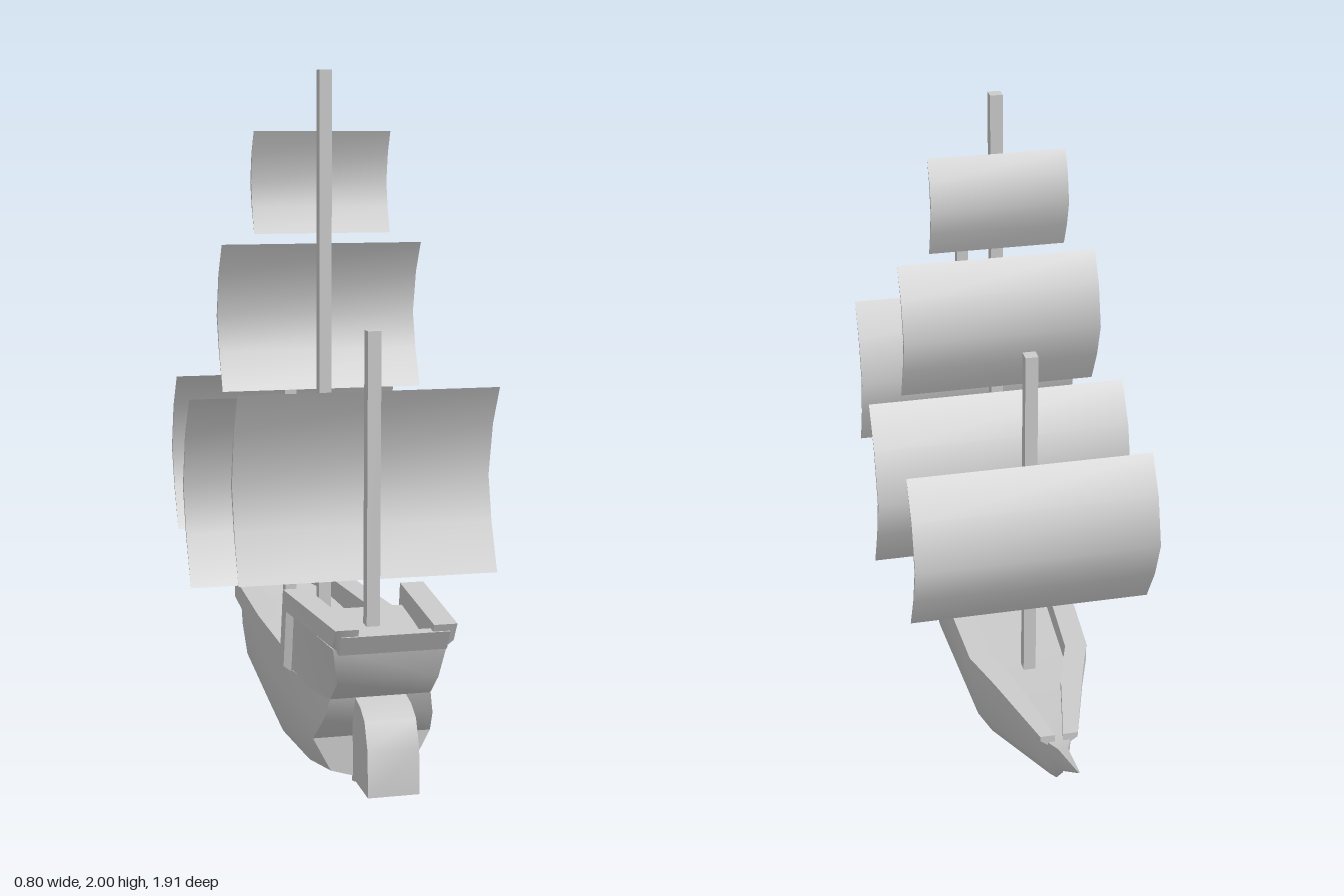
import * as THREE from 'three';
import { toCreasedNormals } from 'three/addons/utils/BufferGeometryUtils.js';

const material = new THREE.MeshStandardMaterial({ color: 0xcccccc });

// Skin a series of closed rings (counter-clockwise seen from +z, ordered by rising z), with capped ends.
function loft(rings, crease = 0.6) {
  const pos = [];
  const ab = new THREE.Vector3(), ac = new THREE.Vector3();
  const tri = (a, b, c) => {
    ab.subVectors(b, a);
    ac.subVectors(c, a);
    if (ab.cross(ac).length() > 1e-9) for (const p of [a, b, c]) pos.push(p.x, p.y, p.z);
  };
  const quad = (a, b, c, d) => { tri(a, b, c); tri(a, c, d); };
  const r = rings.map(ring => ring.map(p => new THREE.Vector3(...p)));
  const n = r[0].length;
  for (let i = 0; i < r.length - 1; i++) {
    for (let j = 0; j < n; j++) {
      const k = (j + 1) % n;
      quad(r[i][j], r[i][k], r[i + 1][k], r[i + 1][j]);
    }
  }
  const first = r[0], last = r[r.length - 1];
  for (let j = 0; j < Math.floor(n / 2); j++) {
    const a = j, b = j + 1, c = n - 2 - j, d = n - 1 - j;
    quad(last[a], last[b], last[c], last[d]);
    quad(first[d], first[c], first[b], first[a]);
  }
  const geo = new THREE.BufferGeometry();
  geo.setAttribute('position', new THREE.Float32BufferAttribute(pos, 3));
  return toCreasedNormals(geo, crease);
}

const mirror = ring => ring.map(([x, y, z]) => [-x, y, z]).reverse();
const bothSides = half => [...half, ...mirror(half)];

// Extrude a side profile of [z, y] points across the ship, centred on x = 0.
function acrossShip(profile, halfWidth, crease = 0.6) {
  const shape = new THREE.Shape(profile.map(([z, y]) => new THREE.Vector2(-z, y)));
  const geo = new THREE.ExtrudeGeometry(shape, { depth: halfWidth * 2, bevelEnabled: false });
  geo.translate(0, 0, -halfWidth).rotateY(Math.PI / 2);
  return toCreasedNormals(geo, crease);
}

export function createModel() {
  const ship = new THREE.Group();
  ship.name = 'sailingShip';
  const add = (name, geo) => {
    const mesh = new THREE.Mesh(geo, material);
    mesh.name = name;
    ship.add(mesh);
    return mesh;
  };

  // Hull: half sections from keel up to the deck edge, bow spike to stern
  const at = (z, pts) => pts.map(([x, y]) => [x, y, z]);
  const hull = [
    at(-0.95, [[0, 0.427], [0.001, 0.428], [0.002, 0.429], [0.002, 0.43], [0.002, 0.431]]),
    at(-0.77, [[0, 0.29], [0.006, 0.3], [0.01, 0.32], [0.013, 0.345], [0.014, 0.37]]),
    at(-0.7, [[0, 0.21], [0.018, 0.225], [0.03, 0.26], [0.038, 0.31], [0.04, 0.355]]),
    at(-0.28, [[0, 0.04], [0.105, 0.075], [0.15, 0.15], [0.165, 0.25], [0.17, 0.335]]),
    at(0.22, [[0, 0.005], [0.14, 0.055], [0.18, 0.145], [0.187, 0.25], [0.187, 0.33]]),
    at(0.55, [[0, 0.04], [0.135, 0.08], [0.178, 0.16], [0.183, 0.26], [0.183, 0.34]]),
    [[0, 0.07, 0.72], [0.115, 0.105, 0.72], [0.165, 0.2, 0.72], [0.152, 0.27, 0.785], [0.138, 0.34, 0.81]],
  ];
  add('hull', loft(hull.map(bothSides)));

  // Raised stern cabin with the overhanging transom
  const cabin = [
    at(0.53, [[0.183, 0.33], [0.183, 0.4], [0.183, 0.505]]),
    at(0.7, [[0.165, 0.33], [0.17, 0.4], [0.178, 0.505]]),
    [[0.138, 0.335, 0.808], [0.138, 0.4, 0.88], [0.155, 0.5, 0.905]],
  ];
  add('sternCabin', loft(cabin.map(bothSides)));

  // Bulwarks: [bottom z, bottom y, top z, top y, outer x, inner x], stepping up at the stern
  const stations = [
    [-0.72, 0.345, -0.72, 0.382, 0.055, 0.012],
    [-0.46, 0.325, -0.46, 0.39, 0.135, 0.068],
    [-0.32, 0.31, -0.32, 0.393, 0.182, 0.115],
    [0.2, 0.31, 0.2, 0.408, 0.21, 0.14],
    [0.53, 0.327, 0.49, 0.402, 0.205, 0.136],
    [0.555, 0.49, 0.515, 0.565, 0.203, 0.135],
    [0.93, 0.49, 0.962, 0.565, 0.163, 0.1],
  ];
  const rail = stations.map(([zb, yb, zt, yt, xo, xi]) => [
    [xi, yb, zb],
    [Math.max(xo - 0.03, xi), yb, zb],
    [xo, yb + 0.022, zb],
    [xo, yt, zt],
    [xi, yt, zt],
  ]);
  add('leftBulwark', loft(rail, 0.4));
  add('rightBulwark', loft(rail.map(mirror), 0.4));
  add('sternRail', acrossShip([[0.9, 0.49], [0.93, 0.49], [0.96, 0.545], [0.92, 0.545]], 0.145));

  // Sternpost and rudder
  add('sternpost', acrossShip([[0.7, 0.065], [0.725, 0.07], [0.78, 0.17], [0.795, 0.3], [0.7, 0.3]], 0.05));
  add('rudder', acrossShip(
    [[0.79, 0.105], [0.945, 0.105], [0.937, 0.23], [0.905, 0.3], [0.86, 0.325], [0.8, 0.337], [0.78, 0.25]], 0.07));

  // Masts: name, z, foot, top
  for (const [name, z, y0, y1] of [
    ['foreMast', -0.32, 0.32, 1.4],
    ['mainMast', 0.155, 0.32, 2],
    ['mizzenMast', 0.711, 0.49, 1.305],
  ]) {
    add(name, new THREE.BoxGeometry(0.037, y1 - y0, 0.037)).position.set(0, (y0 + y1) / 2, z);
  }

  // Sails: name, z at the mast, foot, head, half width, belly depth
  const curve = [[0, 0], [0.25, 0.62], [0.5, 1], [0.79, 0.63], [1, 0]];
  for (const [name, z, y0, y1, half, depth] of [
    ['foreSail', -0.339, 0.56, 1.055, 0.362, 0.118],
    ['mainSail', 0.136, 0.485, 1.05, 0.4, 0.133],
    ['mainTopsail', 0.136, 1.07, 1.5, 0.3, 0.092],
    ['mainTopgallant', 0.136, 1.53, 1.825, 0.204, 0.055],
    ['mizzenSail', 0.692, 0.625, 1.14, 0.362, 0.1],
  ]) {
    const line = d => curve.map(([t, b]) => [z - b * d, y0 + t * (y1 - y0)]);
    const back = line(depth - 0.014).slice(1, -1).reverse();
    add(name, acrossShip([...line(depth), ...back], half, 0.7));
  }

  return ship;
}
